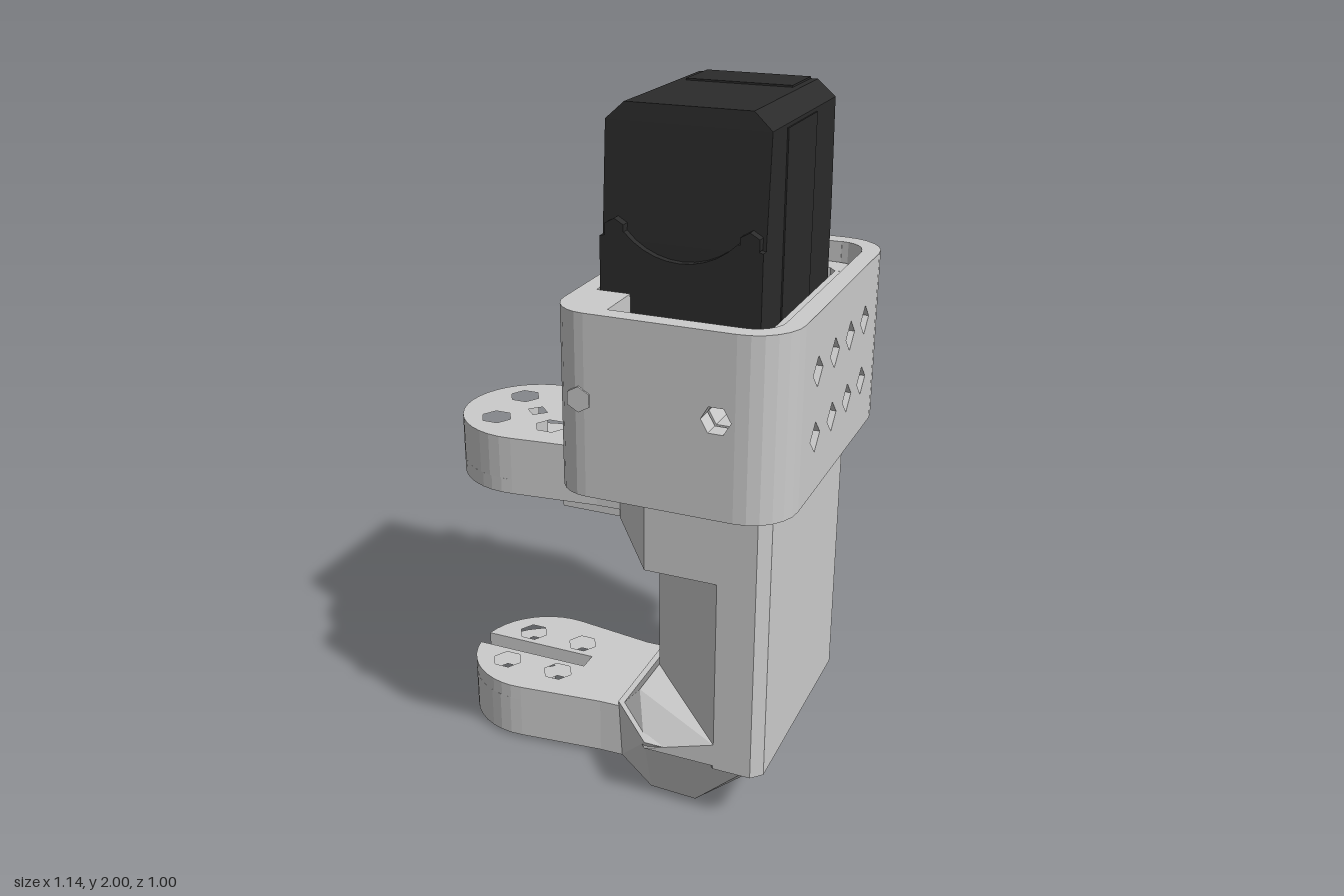
import * as THREE from 'three';
import { ConvexGeometry } from 'three/addons/geometries/ConvexGeometry.js';

const grey = new THREE.MeshStandardMaterial({ color: 0xcccccc, flatShading: true });
const black = new THREE.MeshStandardMaterial({ color: 0x2b2b2b, flatShading: true });

const V2 = (x, y) => new THREE.Vector2(x, y);
const polygon = (cx, cy, r, n) => Array.from({ length: n }, (_, i) => {
  const a = (i / n) * Math.PI * 2;
  return V2(cx + r * Math.cos(a), cy + r * Math.sin(a));
});
const arc = (cx, cy, r, a0, a1, n) => Array.from({ length: n + 1 }, (_, i) => {
  const a = a0 + ((a1 - a0) * i) / n;
  return [cx + r * Math.cos(a), cy + r * Math.sin(a)];
});

export function createModel() {
  const model = new THREE.Group();

  const add = (name, geometry, material = grey) => {
    const mesh = new THREE.Mesh(geometry, material);
    mesh.name = name;
    model.add(mesh);
    return mesh;
  };
  const extrude = (points, holes, depth) => {
    const shape = new THREE.Shape(points);
    holes.forEach((h) => shape.holes.push(new THREE.Path(h)));
    return new THREE.ExtrudeGeometry(shape, { depth, bevelEnabled: false });
  };
  // Outline of [x, z] points raised from y0 to y1
  const plan = (name, pts, y0, y1, holes = []) => {
    const g = extrude(pts.map(([x, z]) => V2(x, -z)), holes.map((h) => h.map((p) => V2(p.x, -p.y))), y1 - y0);
    return add(name, g.rotateX(-Math.PI / 2).translate(0, y0, 0));
  };
  const hull = (name, pts, material) =>
    add(name, new ConvexGeometry(pts.map((p) => new THREE.Vector3(...p))), material);
  const box = (name, x0, x1, y0, y1, z0, z1, material) =>
    add(name, new THREE.BoxGeometry(x1 - x0, y1 - y0, z1 - z0)
      .translate((x0 + x1) / 2, (y0 + y1) / 2, (z0 + z1) / 2), material);
  const rect = (a, b, y0, y1) => [V2(a, y0), V2(b, y0), V2(b, y1), V2(a, y1)];

  // Wall facing x, from z0 to z1, with a grid of eight diamond holes
  const sideWall = (name, x0, x1, y0, y1, z0, z1) => {
    const holes = [];
    for (const y of [1.18, 1.36])
      for (const z of [0.24, 0.09, -0.055, -0.2]) holes.push(polygon(-z, y, 0.042, 4));
    add(name, extrude(rect(-z1, -z0, y0, y1), holes, x1 - x0).rotateY(Math.PI / 2).translate(x0, 0, 0));
  };
  // Wall facing z, with round holes at the given x positions
  const endWall = (name, x0, x1, y0, y1, z0, z1, xs) =>
    add(name, extrude(rect(x0, x1, y0, y1), xs.map((x) => polygon(x, 1.29, 0.04, 6)), z1 - z0).translate(0, 0, z0));
  const cornerWall = (name, cx, cz, r, t, a0, y0, y1) => {
    const a1 = a0 + Math.PI / 2;
    plan(name, [...arc(cx, cz, r, a0, a1, 6), ...arc(cx, cz, r - t, a1, a0, 6)], y0, y1);
  };

  // Sleeve around the motor
  const S0 = 1.02, S1 = 1.52;
  sideWall('sleeveLeftWall', 0.52, 0.57, S0, S1, -0.32, 0.36);
  sideWall('sleeveRightWall', -0.065, -0.015, S0, S1, -0.31, 0.39);
  endWall('sleeveFrontWall', 0.035, 0.44, S0, S1, 0.44, 0.49, [0.39]);
  endWall('sleeveBackWall', 0.07, 0.44, S0, S1, -0.45, -0.395, [0.39]);
  cornerWall('sleeveFrontCorner', 0.44, 0.36, 0.13, 0.05, 0, S0, S1);
  cornerWall('sleeveBackCorner', 0.44, -0.32, 0.13, 0.053, -Math.PI / 2, S0, S1);
  plan('sleeveCornerPad', [[-0.065, 0.3], [0.08, 0.3], [0.08, 0.45], [0.035, 0.49],
    ...arc(0.035, 0.39, 0.1, Math.PI / 2, Math.PI, 6)], S0, S1);
  plan('sleeveChamferCorner', [[0.07, -0.45], [0.07, -0.395], [-0.015, -0.31], [-0.065, -0.31]], S0, S1);
  add('sleeveScrew', new THREE.CylinderGeometry(0.035, 0.035, 0.03, 6)
    .rotateX(Math.PI / 2).translate(0.02, 1.29, 0.479));

  // Clamp lugs on the chamfered corner
  for (const s of [1, -1]) {
    const lug = add('clampLug', new THREE.BoxGeometry(0.19, 0.09, 0.065));
    lug.position.set(-0.022, 1.32 + s * 0.075, -0.407);
    lug.rotation.set(0, Math.PI / 4, s * 0.22);
  }

  // Pocket lining inside the sleeve, open on the right
  const P1 = 1.46;
  sideWall('pocketLeftWall', 0.45, 0.515, S0, P1, -0.3, 0.34);
  endWall('pocketFrontWall', 0.16, 0.43, S0, P1, 0.32, 0.43, [0.39]);
  endWall('pocketBackWall', 0.16, 0.43, S0, P1, -0.39, -0.325, [0.39]);
  plan('pocketFrontCorner', [[0.43, 0.32], [0.515, 0.34], ...arc(0.43, 0.345, 0.085, 0, Math.PI / 2, 5)], S0, P1);
  plan('pocketBackCorner', [[0.43, -0.325], ...arc(0.43, -0.305, 0.085, -Math.PI / 2, 0, 5), [0.45, -0.3]], S0, P1);
  plan('pocketFrontLip', [[0.16, 0.32], [0.16, 0.43], ...arc(0.16, 0.35, 0.08, Math.PI / 2, Math.PI, 4), [0.08, 0.32]], S0, P1);
  plan('pocketBackLip', [[0.16, -0.325], [0.09, -0.325], ...arc(0.16, -0.32, 0.07, Math.PI, Math.PI * 1.5, 4)], S0, P1);

  // Bracket column, with a wedge-shaped inner face
  plan('column', [[0.36, 0.375], [0.47, 0.375], [0.5, 0.345], [0.5, -0.3], [0.47, -0.33], [0.36, -0.33],
    [0.06, 0.0], [0.06, 0.05]], 0.18, 1.03);
  const outer = (y) => [[0.47, y, 0.375], [0.5, y, 0.345], [0.5, y, -0.3], [0.47, y, -0.33]];
  hull('columnHead', [
    ...outer(1.03), ...outer(0.77),
    [0.15, 1.03, 0.375], [0.15, 1.03, -0.33], [0, 1.02, 0.2], [0, 1.02, -0.17],
    [0, 0.82, 0.2], [0, 0.82, -0.17], [0.07, 0.77, 0.2], [0.07, 0.77, -0.17],
    [0.15, 0.77, 0.375], [0.15, 0.77, -0.33],
  ]);
  hull('columnFoot', [
    ...outer(0.21), [0.15, 0.21, 0.375], [0.15, 0.21, -0.33],
    [0.28, 0, 0.3], [0.28, 0, -0.26], [0.14, 0.005, 0.3], [0.14, 0.005, -0.26],
    [0, 0.01, 0.2], [0, 0.01, -0.17], [-0.01, 0.2, 0.2], [-0.01, 0.2, -0.17],
  ]);
  // Sloping fillet where the foot meets the column
  hull('footFillet', [
    [0, 0.19, 0.2], [0, 0.19, -0.17], [0.06, 0.26, 0.2], [0.06, 0.26, -0.17],
    [0.15, 0.19, 0.375], [0.15, 0.19, -0.33], [0.36, 0.26, 0.375], [0.36, 0.26, -0.33],
    [0.45, 0.19, 0.375], [0.45, 0.19, -0.33],
  ]);

  // Fork arms: round ends with four holes, and a slot on the inner face
  const cx = -0.355, cz = 0.015, r = 0.217;
  const armHoles = [];
  for (const x of [-0.44, -0.262]) for (const z of [-0.075, 0.105]) armHoles.push(polygon(x, z, 0.046, 6));
  const gap = 0.14;
  const rim = (a) => [[0.06, 0.2], [-0.07, 0.203], ...arc(cx, cz, r, Math.PI * 0.46, Math.PI - a, 10)];
  const rimBack = (a) => [...arc(cx, cz, r, Math.PI + a, Math.PI * 1.54, 10), [-0.07, -0.165], [0.06, -0.17]];
  const solid = [...rim(0), ...rimBack(0).slice(1)];
  const slotted = [...rim(gap), [-0.2, cz + 0.03], [-0.2, cz - 0.03], ...rimBack(gap)];
  const armPins = [...armHoles, polygon(cx + 0.005, cz, 0.032, 4)];
  plan('lowerArm', solid, 0.01, 0.14, armPins);
  plan('lowerArmInnerFace', slotted, 0.14, 0.185, armHoles);
  plan('upperArm', solid, 0.89, 1.02, armPins);
  plan('upperArmInnerFace', slotted, 0.845, 0.89, armHoles);
  box('upperArmRib', -0.18, 0.04, 0.82, 0.86, -0.165, 0.195);

  // Motor case with tapered, chamfered top
  const X0 = -0.012, X1 = 0.43, XC = (X0 + X1) / 2;
  const ring = (y, i, z0, z1) => [[X0 + i, y, z0], [X1 - i, y, z0], [X0 + i, y, z1], [X1 - i, y, z1]];
  hull('motorCase', [...ring(1.18, 0, -0.3, 0.265), ...ring(1.65, 0, -0.3, 0.265),
    ...ring(1.95, 0, -0.285, 0.243), ...ring(1.995, 0.05, -0.28, 0.238)], black);
  box('motorTopPlate', 0.06, 0.36, 1.98, 2.0, -0.28, -0.12, black);
  box('motorSeam', X0 - 0.004, X1 + 0.004, 1.2, 1.94, -0.11, 0.13, black);

  // Lower covers, scooped along the top
  const cover = [V2(X0, 1.19), V2(X1, 1.19), V2(X1, 1.66),
    ...arc(XC, 1.82, 0.21, -0.75, -Math.PI + 0.75, 10).map(([x, y]) => V2(x, y)), V2(X0, 1.66)];
  add('motorFrontCover', extrude(cover, [], 0.03).translate(0, 0, 0.255), black);
  box('motorBackCover', 0.04, 0.38, 1.19, 1.6, -0.315, -0.29, black);

  // Case screws and rear shaft stub
  for (const x of [0.03, 0.395]) {
    for (const z of [0.265, -0.3]) {
      add('motorScrew', new THREE.CylinderGeometry(0.03, 0.03, 0.045, 6)
        .rotateX(Math.PI / 2).translate(x, 1.68, z), black);
    }
  }
  add('motorShaft', new THREE.CylinderGeometry(0.053, 0.053, 0.08, 8)
    .rotateX(Math.PI / 2).translate(XC, 1.82, -0.317), black);
  add('motorShaftCap', new THREE.CylinderGeometry(0.025, 0.025, 0.02, 6)
    .rotateX(Math.PI / 2).translate(XC, 1.82, -0.35), black);

  return model;
}
